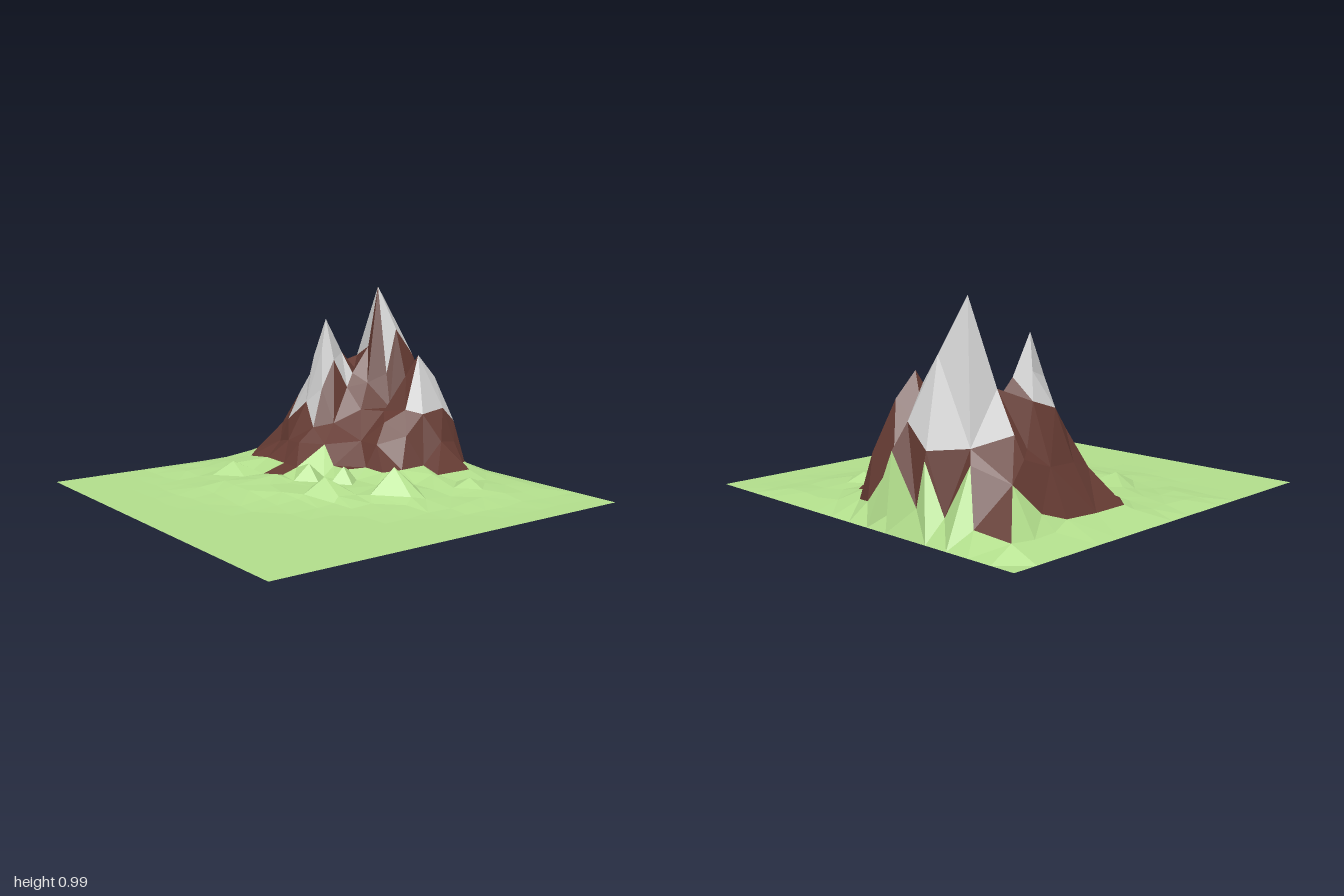
import * as THREE from 'three';

const GRASS = 0, ROCK = 1, SNOW = 2;

// Outline where the mountain meets the grass: x, y, z
const foot = [
  [-0.87, 0.06, -0.88], [-0.68, 0.08, -0.9], [-0.52, 0.1, -0.91], [-0.38, 0.12, -0.94], [-0.22, 0.07, -0.95],
  [-0.02, 0.08, -0.91], [0.1, 0.06, -0.86], [0.17, 0.08, -0.78], [0.25, 0.06, -0.75], [0.25, 0.06, -0.53],
  [0.14, 0.09, -0.53], [0.12, 0.08, -0.4], [0.11, 0.08, -0.28], [0, 0.09, -0.26], [-0.02, 0.09, -0.16],
  [-0.13, 0.09, -0.15], [-0.25, 0.08, 0], [-0.26, 0.05, 0.08], [-0.38, 0.04, 0.12], [-0.38, 0.08, -0.01],
  [-0.55, 0.08, -0.02], [-0.72, 0.06, -0.02], [-0.65, 0.14, -0.17], [-0.84, 0.07, -0.14],
  [-0.84, 0.07, -0.33], [-0.84, 0.08, -0.52], [-0.81, 0.12, -0.64],
];
// Brown shoulders, gullies and saddles
const shoulders = [
  [-0.71, 0.27, -0.33], [-0.73, 0.28, -0.5], [-0.67, 0.36, -0.58], [-0.7, 0.23, -0.22], [-0.5, 0.17, -0.12],
  [-0.37, 0.18, -0.1], [-0.33, 0.27, -0.3], [-0.25, 0.18, -0.18], [-0.13, 0.2, -0.33], [-0.26, 0.34, -0.43],
  [-0.33, 0.47, -0.53], [-0.46, 0.54, -0.54], [-0.22, 0.34, -0.6], [-0.17, 0.38, -0.7], [-0.19, 0.3, -0.84],
  [-0.05, 0.3, -0.42], [-0.09, 0.53, -0.6], [0.07, 0.24, -0.47], [0.13, 0.2, -0.66], [0.1, 0.18, -0.78],
  [-0.15, 0.34, -0.5], [-0.75, 0.25, -0.75], [-0.6, 0.32, -0.84], [-0.4, 0.32, -0.91], [0, 0.2, -0.33],
];
// Snow caps: apex first, then points down to the snow line
const mainPeak = [
  [-0.38, 0.99, -0.64], [-0.27, 0.76, -0.68], [-0.25, 0.62, -0.78], [-0.31, 0.74, -0.75], [-0.25, 0.46, -0.87],
  [-0.22, 0.34, -0.935], [-0.4, 0.36, -0.9], [-0.57, 0.38, -0.81], [-0.71, 0.33, -0.64], [-0.64, 0.42, -0.625],
  [-0.52, 0.6, -0.605], [-0.4, 0.66, -0.59], [-0.27, 0.52, -0.615],
];
const frontPeak = [
  [-0.47, 0.82, -0.35], [-0.55, 0.66, -0.42], [-0.6, 0.54, -0.47], [-0.62, 0.5, -0.35], [-0.51, 0.62, -0.3],
  [-0.45, 0.66, -0.31], [-0.41, 0.6, -0.36], [-0.37, 0.45, -0.42], [-0.41, 0.45, -0.28], [-0.53, 0.46, -0.27],
  [-0.61, 0.4, -0.27], [-0.63, 0.26, -0.21], [-0.5, 0.37, -0.24], [-0.38, 0.25, -0.2], [-0.47, 0.63, -0.46],
  [-0.4, 0.52, -0.48],
];
const sidePeak = [
  [-0.05, 0.64, -0.65], [-0.03, 0.52, -0.75], [0.05, 0.36, -0.74], [0.04, 0.28, -0.83], [-0.13, 0.27, -0.85],
  [0.05, 0.34, -0.6], [-0.02, 0.36, -0.54],
];
// Grassy knolls: x, y, z, radius
const knolls = [
  [0.32, 0.16, -0.18, 0.14], [0.12, 0.11, 0.09, 0.12], [-0.5, 0.1, 0.23, 0.12],
  [-0.14, 0.12, 0, 0.09], [0.45, 0.08, -0.56, 0.1], [0.02, 0.12, -0.1, 0.08],
];

// Signed-area test for a point inside the foot outline, and distance to it
function inFoot(x, z) {
  let inside = false;
  foot.forEach(([ax, , az], i) => {
    const [bx, , bz] = foot[(i + 1) % foot.length];
    if ((az > z) !== (bz > z) && x < ax + ((z - az) / (bz - az)) * (bx - ax)) inside = !inside;
  });
  return inside;
}
function footDistance(x, z) {
  return Math.min(...foot.map(([ax, , az], i) => {
    const [bx, , bz] = foot[(i + 1) % foot.length];
    const dx = bx - ax, dz = bz - az;
    const t = THREE.MathUtils.clamp(((x - ax) * dx + (z - az) * dz) / (dx * dx + dz * dz), 0, 1);
    return Math.hypot(x - ax - t * dx, z - az - t * dz);
  }));
}

// Delaunay triangulation seen from above
function triangulate(points) {
  const n = points.length;
  const p = [...points, { x: -300, z: -200 }, { x: 300, z: -210 }, { x: 1, z: 400 }];
  const circle = (a, b, c) => {
    const [A, B, C] = [p[a], p[b], p[c]];
    const bx = B.x - A.x, bz = B.z - A.z, cx = C.x - A.x, cz = C.z - A.z;
    const d = 2 * (bx * cz - bz * cx), b2 = bx * bx + bz * bz, c2 = cx * cx + cz * cz;
    const ux = (cz * b2 - bz * c2) / d, uz = (bx * c2 - cx * b2) / d;
    return { v: [a, b, c], x: A.x + ux, z: A.z + uz, r2: ux * ux + uz * uz };
  };
  let tris = [circle(n, n + 1, n + 2)];
  for (let i = 0; i < n; i++) {
    const edges = new Map();
    tris = tris.filter((t) => {
      if ((p[i].x - t.x) ** 2 + (p[i].z - t.z) ** 2 >= t.r2) return true;
      for (let k = 0; k < 3; k++) {
        const e = [t.v[k], t.v[(k + 1) % 3]], key = Math.min(...e) + '_' + Math.max(...e);
        if (edges.has(key)) edges.delete(key);
        else edges.set(key, e);
      }
      return false;
    });
    for (const [a, b] of edges.values()) {
      const area = (p[b].x - p[a].x) * (p[i].z - p[a].z) - (p[b].z - p[a].z) * (p[i].x - p[a].x);
      if (Math.abs(area) > 1e-9) tris.push(circle(a, b, i));
    }
  }
  return tris.map((t) => t.v).filter((v) => Math.max(...v) < n);
}

export function createModel() {
  let seed = 7;
  const rand = () => {
    seed = (seed * 16807) % 2147483647;
    return seed / 2147483647 - 0.5;
  };
  const points = [];
  const add = (x, y, z, kind) => points.push({ x, y, z, kind });

  foot.forEach((q) => add(...q, ROCK));
  shoulders.forEach((q) => add(...q, ROCK));
  [mainPeak, frontPeak, sidePeak].flat().forEach((q) => add(...q, SNOW));

  // Knolls: an apex with four low corners
  for (const [x, y, z, r] of knolls) {
    add(x, y, z, GRASS);
    for (let k = 0; k < 4; k++) {
      const kx = x + r * Math.cos(k * Math.PI / 2 + 0.07), kz = z + r * Math.sin(k * Math.PI / 2 + 0.07);
      if (!inFoot(kx, kz) && footDistance(kx, kz) > 0.03) add(kx, 0.04, kz, GRASS);
    }
  }

  // Rolling grass falling away from the foot to a flat square edge
  for (let i = 0; i <= 16; i++) {
    for (let j = 0; j <= 16; j++) {
      const gx = i / 8 - 1, gz = j / 8 - 1;
      if (i % 16 === 0 || j % 16 === 0) {
        add(gx, 0, gz, GRASS);
        continue;
      }
      const x = gx + rand() * 0.03, z = gz + rand() * 0.03, d = footDistance(x, z);
      if (inFoot(x, z) || d < 0.035) continue;
      if (knolls.some((k) => Math.hypot(x - k[0], z - k[2]) < k[3] + 0.02)) continue;
      const edge = Math.min(1, (1 - Math.max(Math.abs(x), Math.abs(z))) / 0.16);
      const fall = Math.max(0, 1 - d / 0.55);
      add(x, fall * edge * (0.065 + rand() * 0.05), z, GRASS);
    }
  }

  // Sort the faces by the lowest kind among their corners
  const faces = [[], [], []];
  for (const [a, b, c] of triangulate(points)) {
    const A = points[a], B = points[b], C = points[c];
    const up = (B.z - A.z) * (C.x - A.x) - (B.x - A.x) * (C.z - A.z) > 0;
    const corners = up ? [A, B, C] : [A, C, B];
    const kind = Math.min(A.kind, B.kind, C.kind);
    corners.forEach((q) => faces[kind].push(q.x, q.y, q.z));
  }

  const group = new THREE.Group();
  group.name = 'mountainTerrain';
  [['grass', 0xb2de8c], ['rock', 0x643a32], ['snow', 0xcccccc]].forEach(([name, color], kind) => {
    const geometry = new THREE.BufferGeometry();
    geometry.setAttribute('position', new THREE.Float32BufferAttribute(faces[kind], 3));
    geometry.computeVertexNormals();
    const mesh = new THREE.Mesh(geometry, new THREE.MeshStandardMaterial({
      color, flatShading: true, side: THREE.DoubleSide,
    }));
    mesh.name = name;
    group.add(mesh);
  });
  return group;
}
